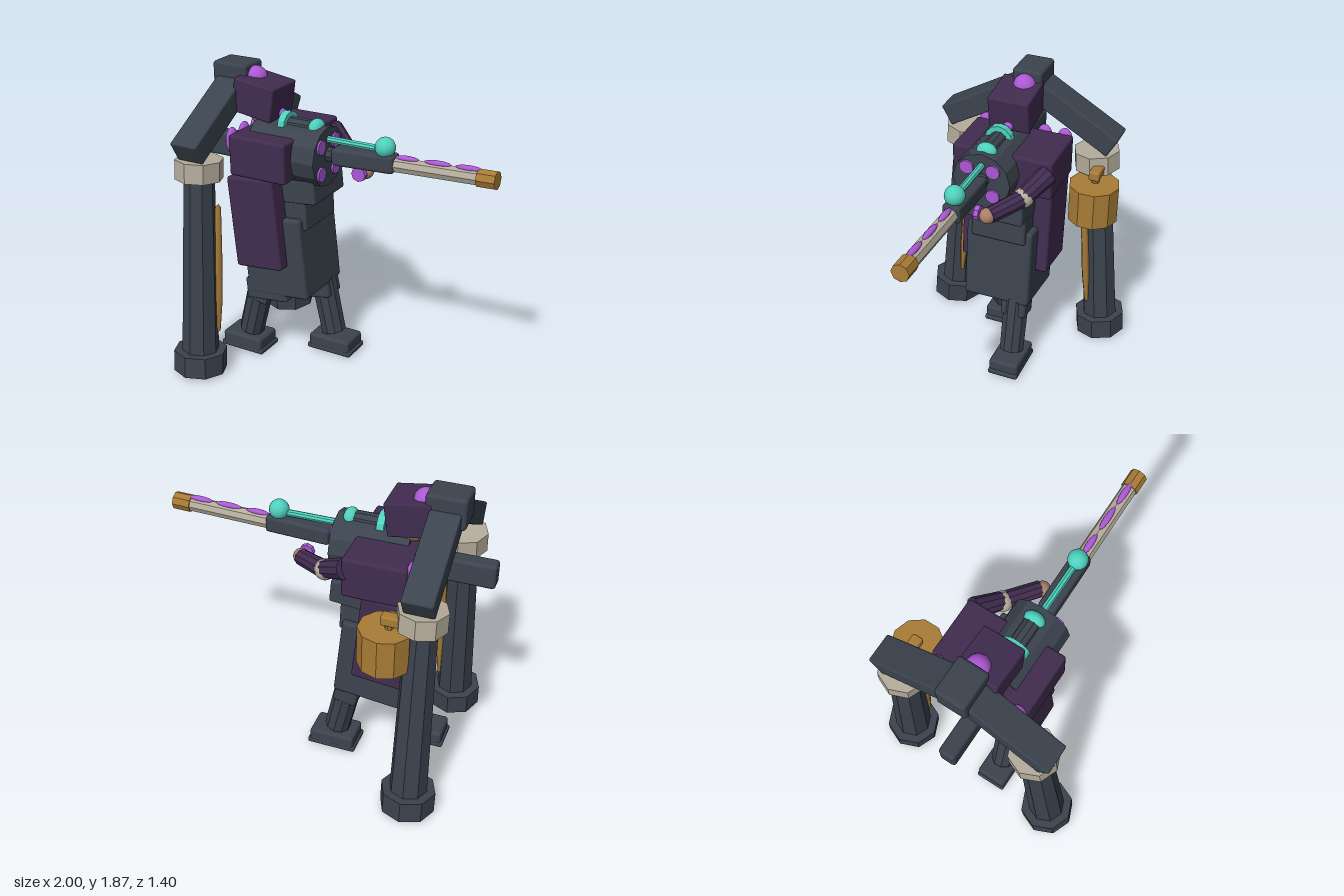
import * as THREE from 'three';
import { RoundedBoxGeometry } from 'three/addons/geometries/RoundedBoxGeometry.js';

const paint = (name, color) => {
  const m = new THREE.MeshStandardMaterial({ color });
  m.name = name;
  return m;
};

export function createModel() {
  const slate = paint('slate', 0x3b434e);
  const plum = paint('plum', 0x412c50);
  const violet = paint('violet', 0xac58d6);
  const teal = paint('teal', 0x4ed0be);
  const cream = paint('cream', 0xb5ad9c);
  const gold = paint('gold', 0xa87c36);
  const skin = paint('skin', 0xa98069);

  const model = new THREE.Group();
  model.name = 'gunner';

  const add = (name, geometry, material, pos = [0, 0, 0], rot = [0, 0, 0], parent = model) => {
    const mesh = new THREE.Mesh(geometry, material);
    mesh.name = name;
    mesh.position.set(...pos);
    mesh.rotation.set(...rot);
    parent.add(mesh);
    return mesh;
  };
  const box = (w, h, d, r = 0.015) => new RoundedBoxGeometry(w, h, d, 2, r);
  // Faceted cylinder
  const facet = (rTop, rBottom, h, sides = 8) => {
    const g = new THREE.CylinderGeometry(rTop, rBottom, h, sides).toNonIndexed();
    g.computeVertexNormals();
    return g;
  };
  const ball = (r) => new THREE.SphereGeometry(r, 16, 12);
  const ellipsoid = (x, y, z) => ball(1).scale(x, y, z);
  // Faceted rod between two points
  const rod = (name, material, a, b, rA, rB, sides = 8) => {
    const from = new THREE.Vector3(...a), to = new THREE.Vector3(...b);
    const dir = to.clone().sub(from);
    const mesh = add(name, facet(rB, rA, dir.length(), sides), material);
    mesh.position.copy(from).add(to).multiplyScalar(0.5);
    mesh.quaternion.setFromUnitVectors(new THREE.Vector3(0, 1, 0), dir.normalize());
    return mesh;
  };

  // Support pillars, leaning inwards, with the yoke arms that carry them
  for (const s of [1, -1]) {
    const pillar = new THREE.Group();
    pillar.name = s > 0 ? 'frontPillar' : 'rearPillar';
    pillar.position.set(-0.71, 0.7, s * 0.482);
    pillar.rotation.x = -s * 0.075;
    model.add(pillar);
    add('pillarShaft', facet(0.092, 0.115, 1.2), slate, [0, 0, 0], [0, 0, 0], pillar);
    add('pillarFoot', facet(0.166, 0.166, 0.135), slate, [0, -0.62, 0], [0, 0, 0], pillar);
    add('pillarCollar', facet(0.145, 0.145, 0.12), cream, [0, 0.62, 0], [0, 0, 0], pillar);
    const strip = new THREE.LatheGeometry([
      [0, -0.42], [0.013, -0.41], [0.026, -0.2], [0.024, 0.1], [0.017, 0.4], [0, 0.42],
    ].map((p) => new THREE.Vector2(...p)), 6);
    add('pillarStrip', strip, gold, [0.092, -0.02, -s * 0.06], [0, 0, 0], pillar);

    add('yokeArm', box(0.18, 0.14, 0.6, 0.012), slate, [-0.71, 1.59, s * 0.29], [s * 0.52, 0, 0]);
  }
  add('yokeBlock', box(0.235, 0.19, 0.19, 0.02), slate, [-0.71, 1.775, 0]);
  add('rearBeam', box(0.5, 0.15, 0.102, 0.02), slate, [-0.75, 1.355, 0.056]);

  // Body, cape and hips
  add('shoulders', box(0.38, 0.25, 0.636, 0.018), plum, [-0.39, 1.385, -0.002]);
  add('cape', box(0.32, 0.58, 0.576, 0.018), plum, [-0.442, 0.957, 0], [0, 0, 0.095]);
  add('chestPlate', box(0.3, 0.15, 0.36), slate, [-0.235, 1.17, -0.005], [0, 0, 0.09]);
  add('waist', box(0.34, 0.34, 0.35), slate, [-0.32, 1.09, -0.005], [0, 0, 0.05]);
  add('skirt', box(0.425, 0.52, 0.43, 0.02), slate, [-0.358, 0.724, -0.003], [0, 0, 0.1]);
  add('hipPlate', box(0.29, 0.14, 0.19, 0.015), slate, [-0.42, 0.486, 0.115], [0, 0, 0.11]);
  add('pelvis', facet(0.13, 0.1, 0.1), slate, [-0.39, 0.49, -0.01]);

  // Striding legs
  for (const [side, top, bottom, footX, z] of [
    ['front', -0.2, -0.12, -0.108, -0.12],
    ['back', -0.5, -0.595, -0.615, 0.117],
  ]) {
    rod(side + 'Leg', slate, [top, 0.5, z], [bottom, 0.13, z], 0.083, 0.08, 10);
    add(side + 'Knee', box(0.15, 0.13, 0.165, 0.02), slate, [top + 0.005, 0.44, z], [0, 0, side === 'front' ? 0.2 : -0.2]);
    add(side + 'Shoe', box(0.285, 0.095, 0.195, 0.02), slate, [footX, 0.065, z]);
    add(side + 'Sole', box(0.31, 0.035, 0.2, 0.012), slate, [footX, 0.025, z]);
  }

  // Hooded head
  add('hood', box(0.275, 0.21, 0.26, 0.012), plum, [-0.512, 1.686, 0.03], [0, 0, -0.15]);
  add('hoodGem', ball(0.07), violet, [-0.575, 1.782, 0.005]);
  add('face', ball(0.085), skin, [-0.51, 1.585, 0.03]);
  add('collarGem', ball(0.03), violet, [-0.385, 1.595, 0.03]);
  for (const z of [-0.26, -0.13, 0, 0.13, 0.26]) {
    add('backCrystal', ellipsoid(0.03, 0.08, 0.05), violet, [-0.59, 1.46, z]);
  }

  // Gun housing with ports on its face
  add('gunHousing', facet(0.182, 0.182, 0.46, 12), slate, [-0.28, 1.39, 0.062], [0, 0, -Math.PI / 2]);
  for (const sy of [1, -1]) {
    for (const sz of [1, -1]) {
      add('housingPort', facet(0.044, 0.044, 0.03, 12), violet,
        [-0.052, 1.39 + sy * 0.083, 0.07 + sz * 0.083], [0, 0, -Math.PI / 2]);
    }
  }

  // Barrel assembly, rising slightly towards the muzzle
  const z = 0.057;
  const axis = (x) => 1.405 + 0.033 * x;
  add('barrelSleeve', box(0.4, 0.105, 0.11, 0.02), slate, [0.19, axis(0.19) + 0.004, z], [0, 0, 0.04]);
  rod('barrelCore', slate, [-0.1, axis(-0.1), z], [0.1, axis(0.1), z], 0.045, 0.045);
  rod('barrel', cream, [0.35, axis(0.35), z], [0.92, axis(0.92), z], 0.046, 0.046);
  rod('muzzle', gold, [0.89, axis(0.89), z], [1, axis(1), z], 0.054, 0.054);
  for (const [x, half] of [[0.457, 0.073], [0.645, 0.083], [0.83, 0.08]]) {
    add('barrelInlay', ellipsoid(half, 0.016, 0.02), violet, [x, axis(x) + 0.046, z], [0, 0, 0.033]);
  }

  // Scope and energy line
  rod('scope', slate, [-0.36, 1.54, 0.06], [-0.12, 1.54, 0.06], 0.055, 0.055, 10);
  rod('scopeRing', teal, [-0.347, 1.54, 0.06], [-0.303, 1.54, 0.06], 0.087, 0.087, 12);
  add('scopeLens', ellipsoid(0.045, 0.055, 0.065), teal, [-0.128, 1.553, 0.06]);
  rod('energyLine', teal, [-0.06, 1.497, 0.06], [0.3, 1.497, 0.06], 0.021, 0.021);
  add('energyOrb', ball(0.061), teal, [0.32, 1.51, 0.06]);

  // Arm reaching for the gun grip
  rod('upperArm', plum, [-0.22, 1.43, -0.29], [-0.06, 1.34, -0.2], 0.065, 0.055, 10);
  add('elbow', ball(0.062), cream, [-0.065, 1.335, -0.2]);
  rod('forearm', plum, [-0.06, 1.335, -0.2], [0.13, 1.297, -0.07], 0.055, 0.05, 10);
  add('hand', ball(0.048), skin, [0.137, 1.295, -0.058]);
  add('grip', facet(0.046, 0.046, 0.03), violet, [0.125, 1.295, 0.005], [Math.PI / 2, 0, 0]);

  // Hanging canister
  add('canister', facet(0.157, 0.157, 0.238, 10), gold, [-0.522, 1.125, -0.485]);
  add('canisterHandle', box(0.13, 0.06, 0.068, 0.012), gold, [-0.56, 1.3, -0.485]);
  rod('canisterNeck', gold, [-0.54, 1.23, -0.485], [-0.54, 1.3, -0.485], 0.025, 0.025);
  add('canisterValve', ball(0.05), slate, [-0.522, 0.985, -0.485]);

  return model;
}
